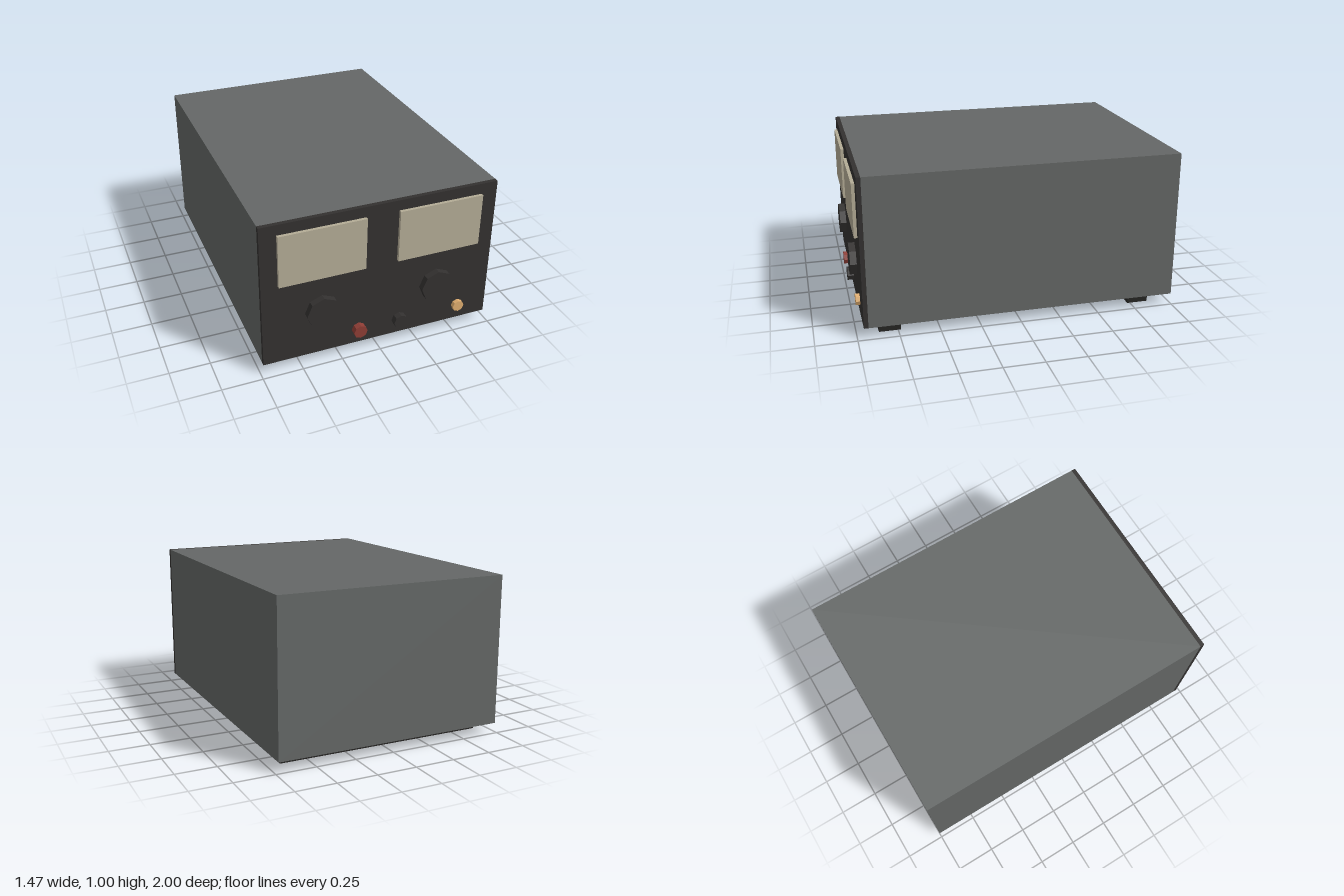
import * as THREE from 'three';

export function createModel() {
  const model = new THREE.Group();
  const mat = (color) => new THREE.MeshStandardMaterial({ color, flatShading: true });
  const casing = mat(0x646766), panel = mat(0x333130), rubber = mat(0x262523);
  const dial = mat(0xb4ac96), red = mat(0x8e3d35), amber = mat(0xdeac6e);

  // Box given by its minimum and maximum corners
  function box(name, material, [x0, y0, z0], [x1, y1, z1]) {
    const mesh = new THREE.Mesh(new THREE.BoxGeometry(x1 - x0, y1 - y0, z1 - z0), material);
    mesh.position.set((x0 + x1) / 2, (y0 + y1) / 2, (z0 + z1) / 2);
    mesh.name = name;
    model.add(mesh);
  }

  // Eight-sided control standing out from the front panel
  const face = 0.96;
  function control(name, material, x, y, radius, front) {
    const geometry = new THREE.CylinderGeometry(radius, radius, front - face, 8).rotateX(Math.PI / 2);
    const mesh = new THREE.Mesh(geometry, material);
    mesh.position.set(x, y, (face + front) / 2);
    mesh.name = name;
    model.add(mesh);
  }

  // Case and front panel
  box('case', casing, [-0.733, 0.067, -1], [0.733, 1, 0.933]);
  box('frontPanel', panel, [-0.733, 0.067, 0.933], [0.733, 1, face]);

  // Foot bars across the underside
  for (const [name, z] of [['frontFoot', 0.8], ['rearFoot', -0.8]]) {
    box(name, rubber, [-0.667, 0, z - 0.067], [0.667, 0.067, z + 0.067]);
  }

  // Paired meters and large knobs
  for (const [side, s] of [['right', -1], ['left', 1]]) {
    const x = s * 0.367;
    box(side + 'Meter', dial, [x - 0.265, 0.602, face], [x + 0.265, 0.934, 0.98]);
    control(side + 'Knob', panel, x, 0.368, 0.105, 1);
  }

  // Terminals and indicator lamp
  control('redTerminal', red, -0.133, 0.167, 0.043, 1);
  control('blackTerminal', panel, 0.133, 0.167, 0.046, 1);
  control('indicatorLamp', amber, 0.533, 0.167, 0.037, 0.986);

  return model;
}
